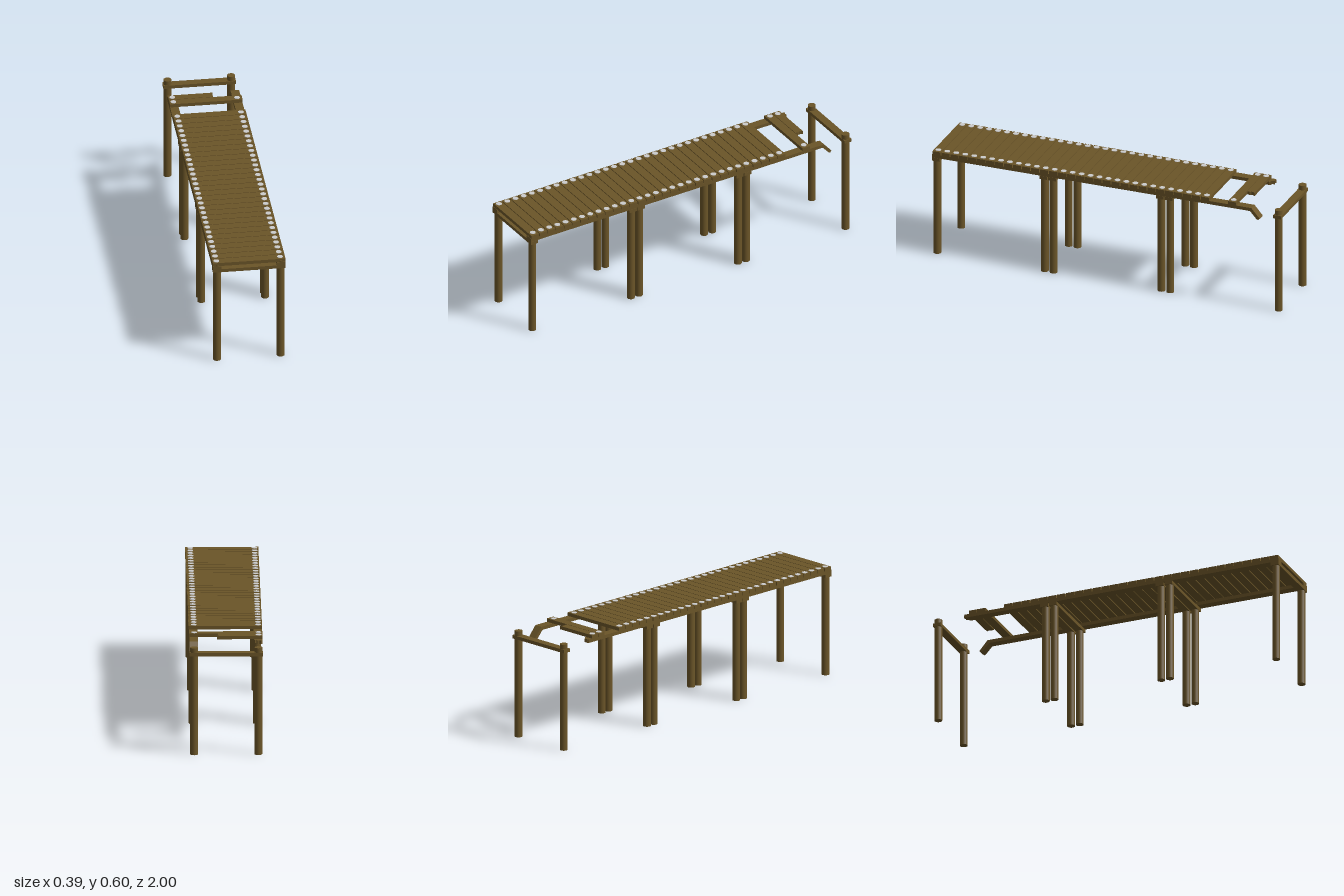
import * as THREE from 'three';

export function createModel() {
  const model = new THREE.Group();
  model.name = 'brokenPier';
  const wood = new THREE.MeshStandardMaterial({ color: 0x6b5528 });
  const metal = new THREE.MeshStandardMaterial({ color: 0xcccccc });

  const add = (name, geometry, material, x, y, z) => {
    const mesh = new THREE.Mesh(geometry, material);
    mesh.name = name;
    mesh.position.set(x, y, z);
    model.add(mesh);
    return mesh;
  };
  const shapeOf = (points) => new THREE.Shape(points.map(([a, b]) => new THREE.Vector2(a, b)));
  const extrude = (points, depth) =>
    new THREE.ExtrudeGeometry(shapeOf(points), { depth, bevelEnabled: false });

  const THICK = 0.0185; // all boards
  const WIDTH = 0.39;
  const BEAM_Y = 0.554, STRINGER_Y = 0.5725, PLANK_Y = 0.591;

  // Rows of posts, each pair joined by a cross beam
  const postTop = 0.589;
  const postGeo = new THREE.CylinderGeometry(0.021, 0.021, postTop, 20);
  const beamGeo = new THREE.BoxGeometry(WIDTH, THICK, 0.044);
  for (const z of [0.978, 0.362, 0.312, -0.306, -0.356, -0.978]) {
    for (const x of [-0.171, 0.171]) add('post', postGeo, wood, x, postTop / 2, z);
    add('crossBeam', beamGeo, wood, 0, BEAM_Y, z);
  }

  // Right stringer, snapped off with a splintered end (drawn in plan: x, -z)
  const rightStringer = extrude([
    [-0.195, -1], [-0.149, -1], [-0.149, 0.795], [-0.155, 0.805],
    [-0.162, 0.80], [-0.168, 0.82], [-0.18, 0.815], [-0.187, 0.822], [-0.195, 0.815],
  ], THICK);
  rightStringer.rotateX(-Math.PI / 2);
  add('rightStringer', rightStringer, wood, 0, STRINGER_Y - THICK / 2, 0);

  // Left stringer, cracked and hanging down at its far end (drawn from the side: z, y)
  const h = THICK / 2;
  const leftStringer = extrude([
    [1, -h], [1, h], [-0.83, h], [-0.878, -0.046], [-0.872, -0.049],
    [-0.87, -0.054], [-0.86, -0.051], [-0.822, -h],
  ], 0.046);
  leftStringer.rotateY(-Math.PI / 2);
  add('leftStringer', leftStringer, wood, 0.194, STRINGER_Y, 0);

  // Deck planks with a nail at each end; a few are missing near the break
  const PITCH = 0.0513, PLANK_W = 0.047;
  const plankGeo = new THREE.BoxGeometry(WIDTH, THICK, PLANK_W);
  const nailGeo = new THREE.CylinderGeometry(0.0155, 0.0155, 0.006, 16);
  const nail = (x, z) => add('nail', nailGeo, metal, x, 0.5995, z);
  const plankZ = (i) => 0.9735 - i * PITCH;
  for (let i = 0; i <= 33; i++) {
    if (i === 31 || i === 32) continue;
    const z = plankZ(i);
    add('plank', plankGeo, wood, 0, PLANK_Y, z);
    nail(-0.174, z);
    nail(0.168, z);
  }

  // Last plank, broken halfway across
  const w = 0.022;
  const brokenPlank = extrude([
    [-0.195, -w], [0.04, -w], [0.044, -0.008], [0.038, 0.002],
    [0.041, 0.012], [0.047, w], [-0.195, w],
  ], THICK);
  brokenPlank.rotateX(-Math.PI / 2);
  add('brokenPlank', brokenPlank, wood, 0, PLANK_Y - THICK / 2, plankZ(34) + 0.003);
  nail(-0.174, plankZ(34) + 0.003);

  return model;
}
